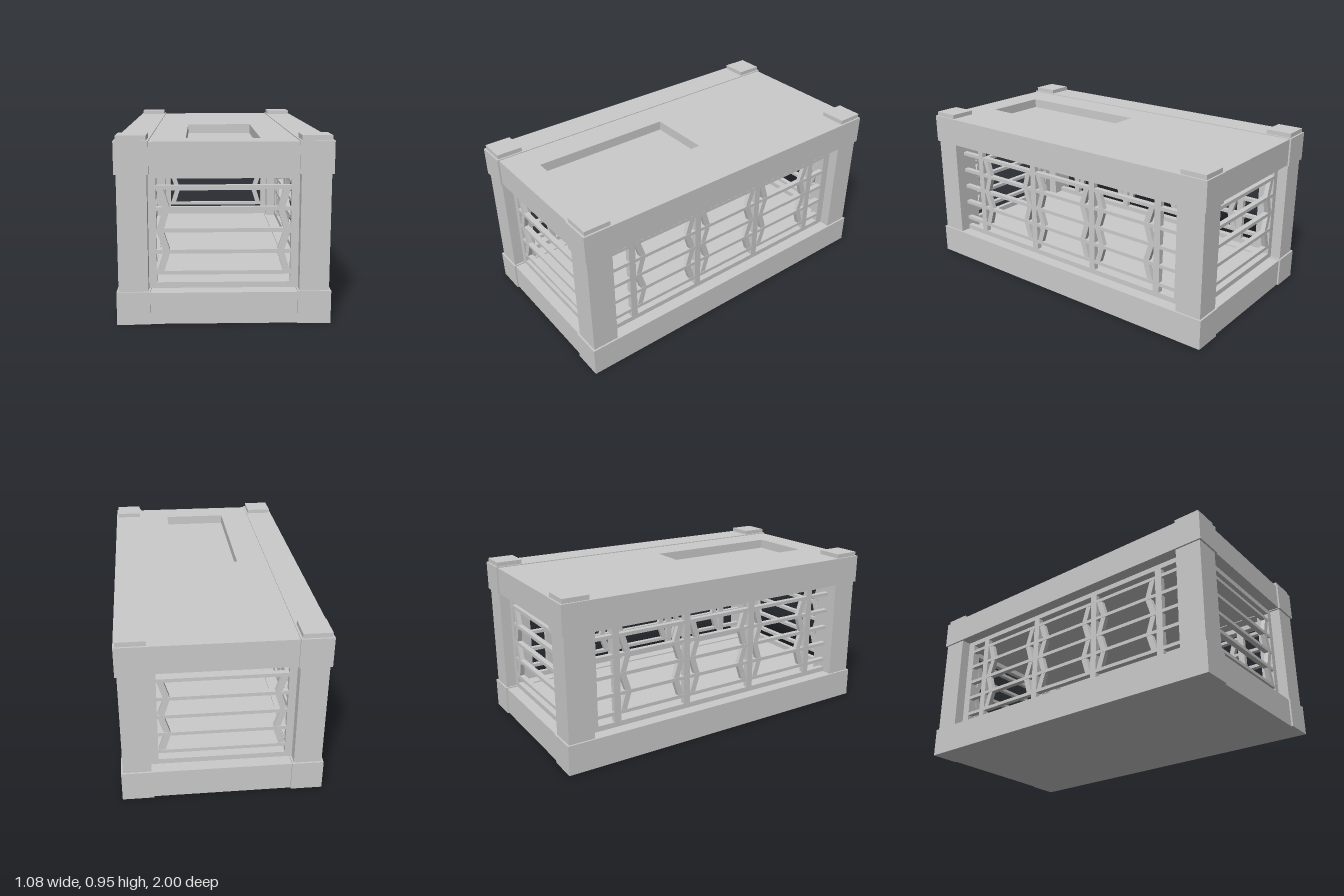
import * as THREE from 'three';

const material = new THREE.MeshStandardMaterial({ color: 0xcccccc, flatShading: true });

// Box given by its min and max on each axis
function box(parent, name, [x0, x1], [y0, y1], [z0, z1]) {
  const mesh = new THREE.Mesh(new THREE.BoxGeometry(x1 - x0, y1 - y0, z1 - z0), material);
  mesh.position.set((x0 + x1) / 2, (y0 + y1) / 2, (z0 + z1) / 2);
  mesh.name = name;
  parent.add(mesh);
  return mesh;
}

const RAILS = [0.25, 0.36, 0.47, 0.58, 0.69];
const DEPTH = [-0.015, 0.015];

// Zigzag strip that leans away from an upright edge at u, towards dir
function zigzag(parent, u, dir) {
  const near = RAILS.map((y, i) => new THREE.Vector2(u + dir * (i % 2 ? 0.035 : 0), y));
  const far = near.map((p) => new THREE.Vector2(p.x + dir * 0.035, p.y)).reverse();
  const geometry = new THREE.ExtrudeGeometry(new THREE.Shape([...near, ...far]), { depth: 0.026, bevelEnabled: false });
  const mesh = new THREE.Mesh(geometry, material);
  mesh.position.z = -0.013;
  mesh.name = 'zigzagStrip';
  parent.add(mesh);
}

// Lattice panel along local x: frame, rails, mullions and zigzags
function lattice(name, [u0, u1], stile, mullions, zigzags) {
  const panel = new THREE.Group();
  panel.name = name;
  box(panel, 'bottomFrame', [u0, u1], [0.17, 0.2], DEPTH);
  box(panel, 'topFrame', [u0, u1], [0.735, 0.765], DEPTH);
  box(panel, 'endFrame', [u0, u0 + stile], [0.2, 0.735], DEPTH);
  box(panel, 'endFrame', [u1 - stile, u1], [0.2, 0.735], DEPTH);
  for (const y of RAILS) box(panel, 'rail', [u0 + stile, u1 - stile], [y - 0.01, y + 0.01], DEPTH);
  for (const u of mullions) box(panel, 'mullion', [u - 0.02, u + 0.02], [0.2, 0.735], DEPTH);
  for (const [u, dir] of zigzags) zigzag(panel, u, dir);
  return panel;
}

export function createModel() {
  const model = new THREE.Group();
  model.name = 'latticeBox';

  // Solid base and roof; the roof has a shallow recess towards the front
  box(model, 'base', [-0.37, 0.37], [0, 0.163], [-0.99, 0.99]);
  box(model, 'roof', [-0.37, 0.37], [0.77, 0.87], [-0.99, 0.99]);
  const top = new THREE.Shape([[-0.37, -0.99], [0.37, -0.99], [0.37, 0.99], [-0.37, 0.99]].map((p) => new THREE.Vector2(...p)));
  top.holes.push(new THREE.Path([[-0.19, -0.83], [-0.19, 0], [0.19, 0], [0.19, -0.83]].map((p) => new THREE.Vector2(...p))));
  const roofTop = new THREE.Mesh(new THREE.ExtrudeGeometry(top, { depth: 0.055, bevelEnabled: false }), material);
  roofTop.rotation.x = -Math.PI / 2;
  roofTop.position.y = 0.87;
  roofTop.name = 'recessedRoofTop';
  model.add(roofTop);

  for (const s of [-1, 1]) {
    const span = (a, b) => (s > 0 ? [a, b] : [-b, -a]);
    // Long beams along both sides
    box(model, 'lowerBeam', span(0.37, 0.54), [0, 0.17], [-1, 1]);
    box(model, 'upperBeam', span(0.37, 0.54), [0.765, 0.93], [-1, 1]);

    // Corner posts that show as caps above the beams
    box(model, 'frontPost', span(0.38, 0.53), [0.01, 0.955], [0.84, 0.99]);
    box(model, 'backPost', span(0.38, 0.53), [0.01, 0.955], [-0.99, -0.84]);

    // End lattice
    const end = lattice(s > 0 ? 'frontLattice' : 'backLattice', [-0.38, 0.38], 0.04, [], [[-0.34, 1], [0.34, -1]]);
    end.position.z = s * 0.915;
    model.add(end);

    // Side lattice with three bays of zigzags between four mullions
    const mullions = [-0.67, -0.222, 0.23, 0.682];
    const strips = [];
    for (let i = 0; i < 3; i++) strips.push([mullions[i] + 0.02, 1], [mullions[i + 1] - 0.02, -1]);
    const side = lattice(s > 0 ? 'leftLattice' : 'rightLattice', [-0.84, 0.89], 0.05, mullions, strips);
    side.rotation.y = -Math.PI / 2;
    side.position.x = s * 0.455;
    model.add(side);
  }
  return model;
}
